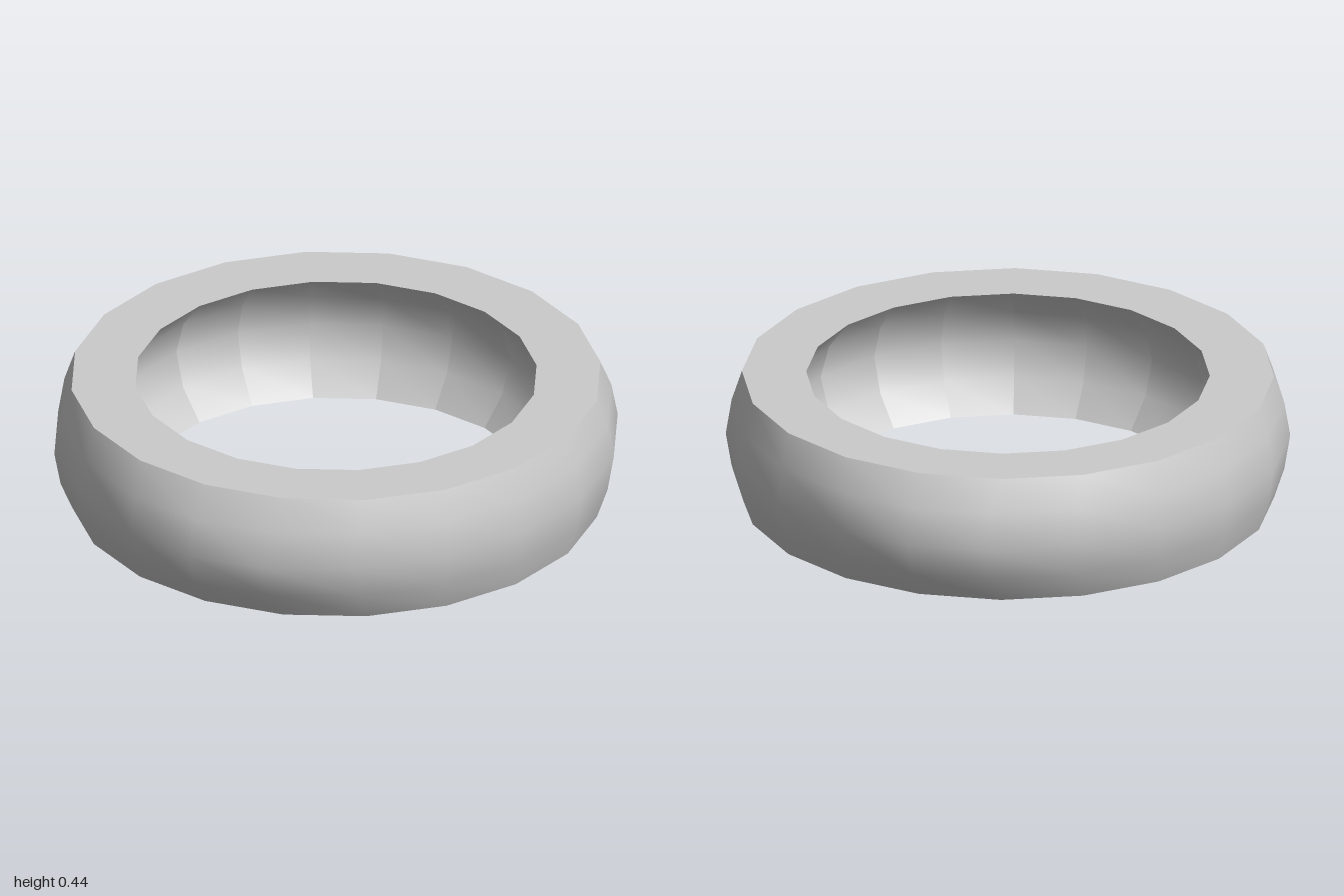
import * as THREE from 'three';
import { mergeGeometries, mergeVertices } from 'three/addons/utils/BufferGeometryUtils.js';

const SIDES = 20;
const HEIGHT = 0.44;
const OUTER = 0.89;
const INNER = 0.675;

const profile = (pairs) => pairs.map(([r, y]) => new THREE.Vector2(r, y));

export function createModel() {
  const group = new THREE.Group();
  const material = new THREE.MeshStandardMaterial({ color: 0xcccccc });
  const add = (name, geometry) => {
    const mesh = new THREE.Mesh(geometry, material);
    mesh.name = name;
    group.add(mesh);
  };

  // Bulging outer wall, its middle rings squeezed slightly toward x = 0
  const wall = new THREE.LatheGeometry(
    profile([[OUTER, 0], [0.96, 0.1], [1, 0.22], [0.96, 0.34], [OUTER, HEIGHT]]), SIDES);
  const pos = wall.attributes.position;
  for (let i = 0; i < pos.count; i++) {
    const x = pos.getX(i);
    const radius = Math.hypot(x, pos.getZ(i));
    if (Math.abs(x) > 0.001) pos.setX(i, x - Math.sign(x) * (radius - OUTER) * 0.54);
  }
  wall.deleteAttribute('uv');
  wall.deleteAttribute('normal');
  const outerWall = mergeVertices(wall);
  outerWall.computeVertexNormals();
  add('outerWall', outerWall);

  // Hollowed inner wall: separate columns, each smooth from top to bottom
  const hollow = profile([[INNER, HEIGHT], [0.755, 0.34], [0.79, 0.22], [0.755, 0.1], [INNER, 0]]);
  const step = (Math.PI * 2) / SIDES;
  const columns = [];
  for (let i = 0; i < SIDES; i++) {
    const column = new THREE.LatheGeometry(hollow, 1, i * step, step);
    column.computeVertexNormals();
    columns.push(column);
  }
  add('innerWall', mergeGeometries(columns));

  // Flat rims
  add('topRim', new THREE.LatheGeometry(profile([[OUTER, HEIGHT], [INNER, HEIGHT]]), SIDES));
  add('bottomRim', new THREE.LatheGeometry(profile([[INNER, 0], [OUTER, 0]]), SIDES));

  return group;
}
